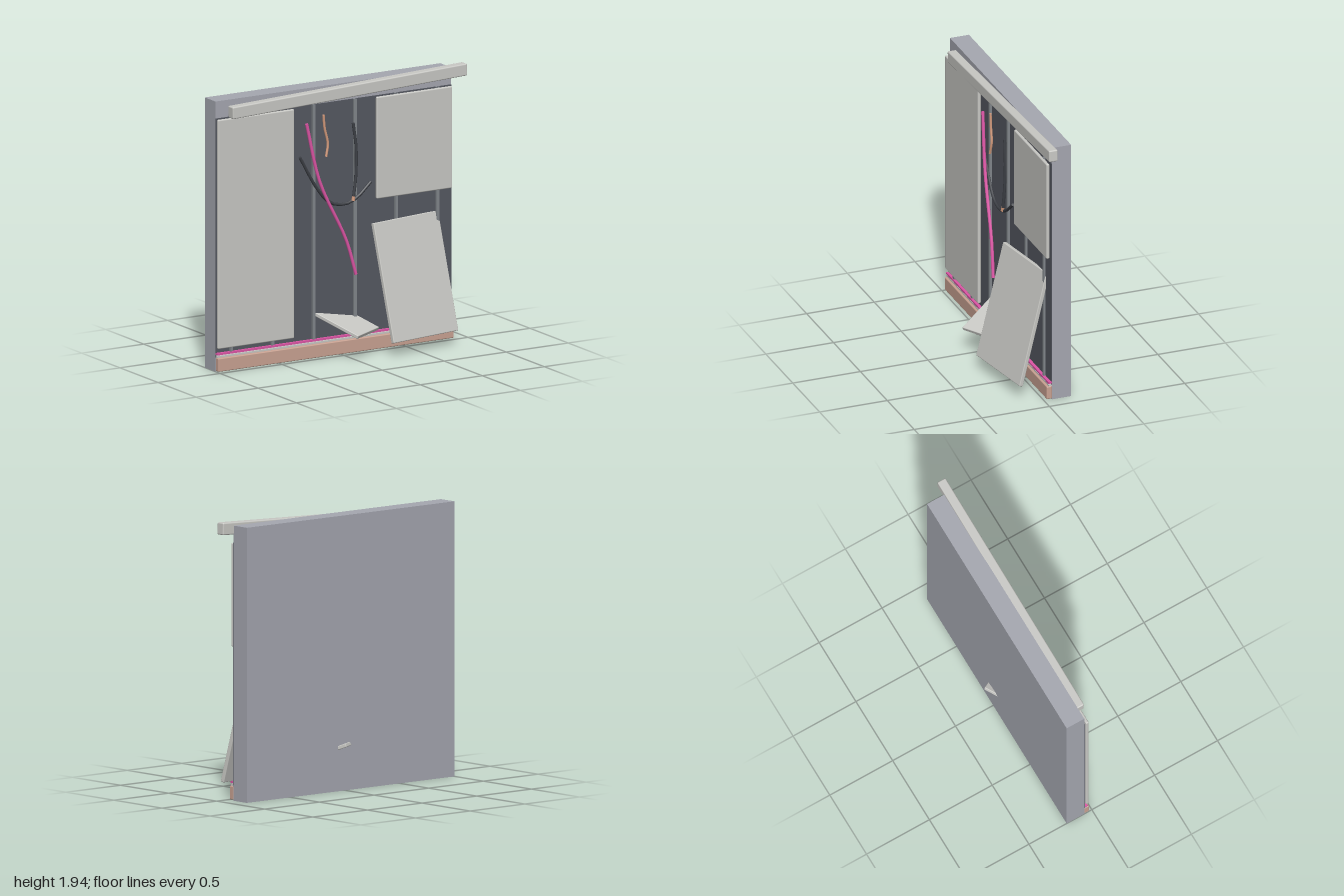
import * as THREE from 'three';
import { RoundedBoxGeometry } from 'three/addons/geometries/RoundedBoxGeometry.js';

const mat = (name, color) => {
  const m = new THREE.MeshStandardMaterial({ color });
  m.name = name;
  return m;
};

export function createModel() {
  const group = new THREE.Group();
  const concrete = mat('blue grey concrete', 0xa5a7b0);
  const cavity = mat('dark cavity', 0x555861);
  const panelGrey = mat('pale panel', 0xc8c8c4);
  const steel = mat('steel', 0x80858a);
  const clay = mat('clay trim', 0xc9a292);
  const pink = mat('pink', 0xdc55a5);
  const copper = mat('copper', 0xd29a7c);
  const black = mat('black cable', 0x3c3f45);

  const add = (name, geometry, material) => {
    const m = new THREE.Mesh(geometry, material);
    m.name = name;
    group.add(m);
    return m;
  };
  // box given by its minimum and maximum corners, optionally with rounded edges
  const box = (name, a, b, material, r = 0) => {
    const s = b.map((v, i) => v - a[i]);
    const g = r ? new RoundedBoxGeometry(...s, 2, r) : new THREE.BoxGeometry(...s);
    const m = add(name, g, material);
    m.position.set(...a.map((v, i) => (v + b[i]) / 2));
    return m;
  };
  // capped round cable through a few points
  const cable = (name, points, r, material) => {
    const pts = points.map(p => new THREE.Vector3(...p));
    const curve = new THREE.CatmullRomCurve3(pts);
    add(name, new THREE.TubeGeometry(curve, 14, r, 8), material);
    [0, 1].forEach(t => {
      const cap = add(name + 'End', new THREE.CircleGeometry(r, 8), material);
      const out = curve.getTangent(t).multiplyScalar(t ? 1 : -1);
      cap.position.copy(pts[t ? pts.length - 1 : 0]);
      cap.quaternion.setFromUnitVectors(new THREE.Vector3(0, 0, 1), out);
    });
  };

  // wall slab and dark open cavity
  box('wall', [-1, 0, -0.2], [0.9, 1.91, -0.06], concrete);
  box('cavityFace', [-1, 0.1, -0.06], [0.9, 1.79, -0.054], cavity);

  // vertical studs
  for (let i = 0; i < 6; i++) {
    const x = -0.883 + i * 0.333;
    box('stud', [x - 0.011, 0.12, -0.055], [x + 0.011, 1.79, -0.038], steel);
  }

  // skirting, ledge and light strip
  box('skirting', [-1, 0.005, -0.06], [0.9, 0.1, -0.02], clay, 0.007);
  box('ledge', [-1, 0.102, -0.06], [0.9, 0.114, -0.035], panelGrey);
  box('lightStrip', [-1, 0.12, -0.058], [0.9, 0.134, -0.032], pink);

  // mounted panels
  box('tallPanel', [-1, 0.165, -0.046], [-0.385, 1.785, -0.022], panelGrey, 0.009);
  box('upperPanel', [0.28, 1.065, -0.046], [0.89, 1.785, -0.022], panelGrey, 0.009);

  // sagging top beam
  const beam = add('topBeam', new RoundedBoxGeometry(1.893, 0.085, 0.065, 2, 0.009), panelGrey);
  beam.position.set(0.05, 1.859, -0.032);
  beam.rotation.z = 0.037;

  // leaning panel, pivoted on its lower left front corner
  const lean = add('leaningPanel',
    new RoundedBoxGeometry(0.585, 0.838, 0.03, 2, 0.006).translate(0.2925, 0.419, -0.015), panelGrey);
  lean.position.set(0.252, 0.104, 0.246);
  lean.rotation.set(-0.26, 0.157, 0, 'YXZ');

  // fallen panel stuck through the wall
  const fallen = add('fallenPanel',
    new RoundedBoxGeometry(0.3, 0.026, 0.41, 2, 0.005).translate(0, -0.013, 0), panelGrey);
  fallen.position.set(0.005, 0.262, -0.005);
  fallen.rotation.set(0.36, 0.524, 0, 'YXZ');

  // loose cables
  cable('pinkCable', [[-0.29, 1.67, -0.02], [-0.195, 1.25, 0.0], [0.0, 0.82, 0.03], [0.068, 0.575, 0.045]], 0.012, pink);
  cable('copperCable', [[-0.152, 1.715, -0.022], [-0.143, 1.62, -0.022], [-0.12, 1.51, -0.018], [-0.137, 1.42, -0.012]], 0.009, copper);
  cable('hangingCable', [[0.092, 1.625, -0.03], [0.113, 1.45, -0.026], [0.108, 1.25, -0.022], [0.087, 1.1, -0.018]], 0.011, black);
  cable('cableTip', [[0.088, 1.11, -0.018], [0.083, 1.08, -0.016]], 0.012, copper);
  cable('saggingCable', [[-0.335, 1.435, -0.035], [-0.2, 1.2, -0.03], [-0.1, 1.09, -0.026], [0.01, 1.062, -0.024],
    [0.11, 1.09, -0.026], [0.235, 1.19, -0.034]], 0.011, black);

  return group;
}
